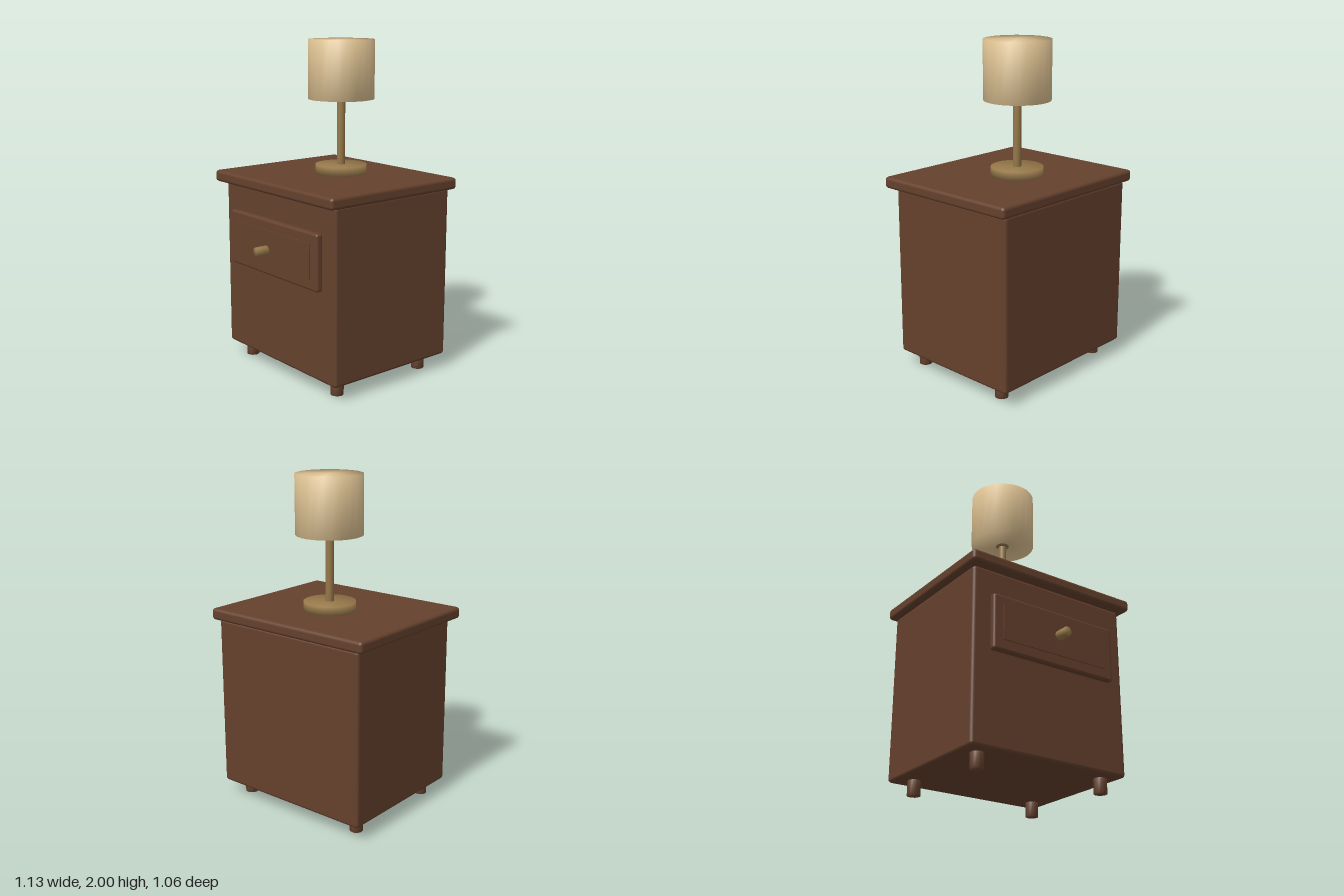
import * as THREE from 'three';
import { mergeVertices } from 'three/addons/utils/BufferGeometryUtils.js';
import { RoundedBoxGeometry } from 'three/addons/geometries/RoundedBoxGeometry.js';

function material(name, color) {
  const m = new THREE.MeshStandardMaterial({ color });
  m.name = name;
  return m;
}

export function createModel() {
  const model = new THREE.Group();
  model.name = 'nightstandWithLamp';
  const wood = material('brown wood', 0x65412d);
  const brass = material('aged brass', 0x96784a);
  const linen = material('cream linen', 0xdfc393);

  function add(parent, name, geometry, mat, x, y, z) {
    const mesh = new THREE.Mesh(geometry, mat);
    mesh.name = name;
    mesh.position.set(x, y, z);
    parent.add(mesh);
    return mesh;
  }

  // Closed cylinder whose normals run smoothly over the rim
  function softCylinder(radius, height, sides) {
    const g = new THREE.CylinderGeometry(radius, radius, height, sides);
    g.deleteAttribute('normal');
    g.deleteAttribute('uv');
    const merged = mergeVertices(g, 1e-4);
    merged.computeVertexNormals();
    return merged;
  }

  const rounded = (w, h, d, r) => new RoundedBoxGeometry(w, h, d, 3, r);

  // Cabinet: body, overhanging top, four round feet
  const cabinet = new THREE.Group();
  cabinet.name = 'cabinet';
  model.add(cabinet);
  add(cabinet, 'body', rounded(1.052, 1.045, 0.88, 0.02), wood, 0, 0.61, -0.068);
  add(cabinet, 'tabletop', rounded(1.135, 0.07, 0.965, 0.02), wood, 0, 1.163, -0.05);
  for (const x of [-0.42, 0.42]) {
    for (const z of [-0.38, 0.27]) {
      add(cabinet, 'foot', softCylinder(0.039, 0.1, 16), wood, x, 0.05, z);
    }
  }

  // Drawer: front, raised panel, knob standing clear of it
  const drawer = new THREE.Group();
  drawer.name = 'drawer';
  model.add(drawer);
  add(drawer, 'drawerFront', rounded(0.84, 0.335, 0.045, 0.015), wood, 0, 0.803, 0.395);
  add(drawer, 'drawerPanel', new THREE.BoxGeometry(0.715, 0.21, 0.02), wood, 0, 0.805, 0.414);
  const knob = add(drawer, 'knob', softCylinder(0.029, 0.074, 12), brass, 0, 0.803, 0.493);
  knob.rotation.x = Math.PI / 2;

  // Lamp: base, stem, bulb and drum shade
  const lamp = new THREE.Group();
  lamp.name = 'lamp';
  lamp.position.z = -0.11;
  model.add(lamp);
  add(lamp, 'lampBase', softCylinder(0.157, 0.06, 24), brass, 0, 1.222, 0);
  add(lamp, 'lampStem', softCylinder(0.025, 0.42, 16), brass, 0, 1.45, 0);
  add(lamp, 'bulb', new THREE.SphereGeometry(0.075, 20, 14), brass, 0, 1.71, 0);
  add(lamp, 'lampShade', softCylinder(0.2, 0.352, 24), linen, 0, 1.824, 0);

  return model;
}
